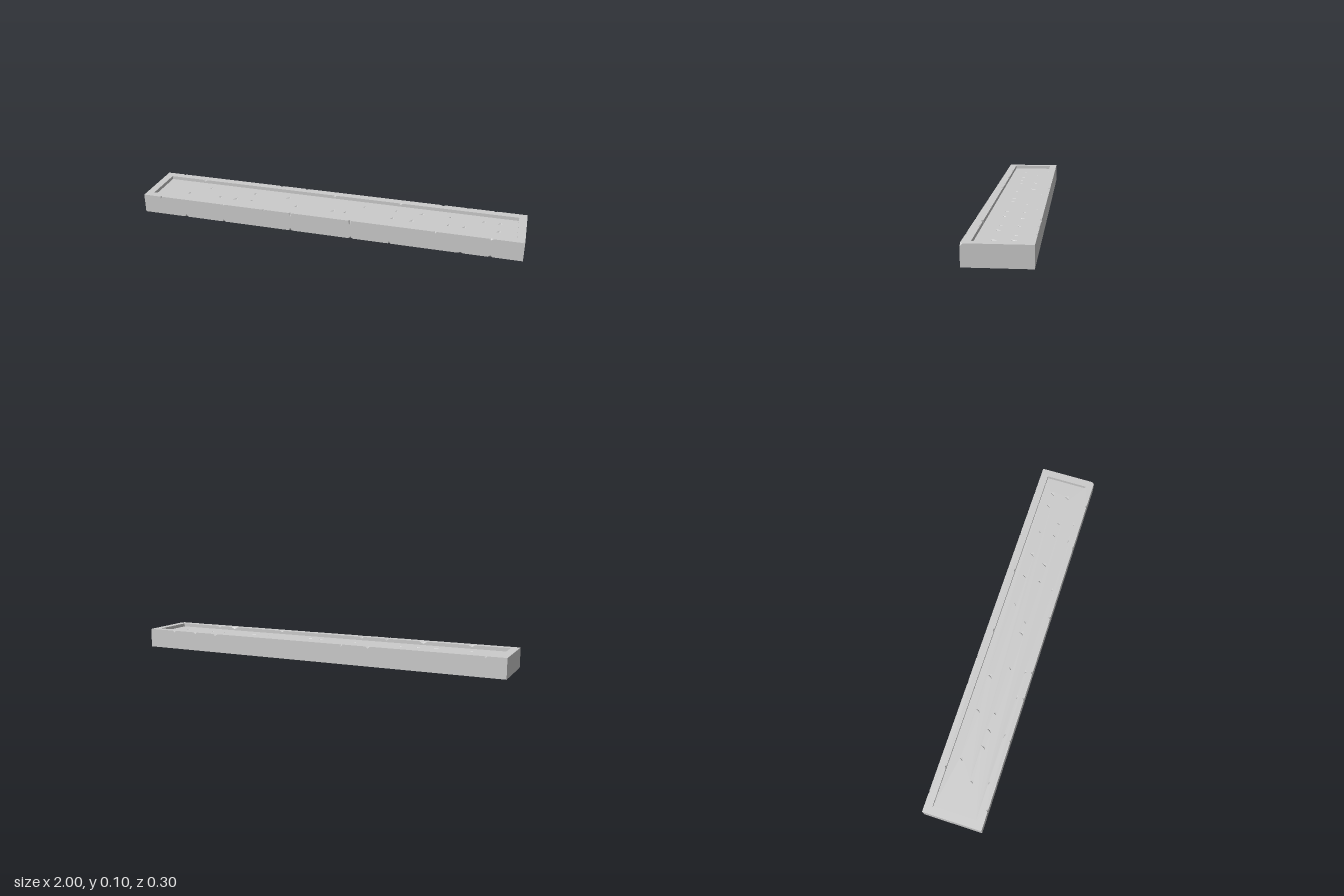
import * as THREE from 'three';
import { mergeGeometries } from 'three/addons/utils/BufferGeometryUtils.js';

const X = 1, Z = 0.15, H = 0.1;          // outer half length, half width, height
const IX = 0.96, IZ = 0.11, FLOOR = 0.082; // recess half length, half width, floor height
const C = 0.013;                          // chipped corner size

// Nicks along the edges: [x, half width, cut into horizontal face, cut into vertical face]
const frontTop = [[-0.9, 0.007, 0.008, 0.022], [-0.545, 0.007, 0.006, 0.008], [-0.32, 0.007, 0.008, 0.014],
  [-0.175, 0.009, 0.009, 0.02], [0.14, 0.008, 0.009, 0.034], [0.57, 0.009, 0.007, 0.012], [0.84, 0.011, 0.007, 0.009]];
const frontBottom = [[-0.76, 0.01, 0.008, 0.014], [-0.545, 0.008, 0.008, 0.013], [-0.175, 0.009, 0.008, 0.016],
  [0.145, 0.011, 0.008, 0.012], [0.345, 0.007, 0.008, 0.014], [0.7, 0.014, 0.007, 0.007], [0.845, 0.011, 0.008, 0.01]];
const backTop = [[-0.9, 0.008, 0.006, 0.01], [-0.32, 0.012, 0.007, 0.01], [-0.175, 0.01, 0.009, 0.012],
  [0.57, 0.013, 0.01, 0.012], [0.7, 0.01, 0.006, 0.008], [0.84, 0.01, 0.006, 0.01]];
const innerFront = [[-0.77, 0.016, 0.007, 0.01], [-0.52, 0.022, 0.009, 0.012], [-0.32, 0.013, 0.009, 0.01],
  [-0.18, 0.012, 0.009, 0.01], [0.3, 0.013, 0.007, 0.008], [0.61, 0.023, 0.009, 0.012], [0.71, 0.012, 0.008, 0.01]];
const innerBack = [[-0.76, 0.011, 0.008, 0.01], [-0.01, 0.012, 0.009, 0.012], [0.35, 0.012, 0.008, 0.01]];

// Small pits in the recess floor: x positions of each row
const pitRows = [
  [-0.055, [-0.7, -0.44, -0.25, 0.17, 0.34, 0.475, 0.62, 0.79, 0.87]],
  [0.03, [-0.79, -0.61, -0.52, -0.43, -0.18, 0.02, 0.085, 0.335, 0.435, 0.62, 0.7, 0.87]],
];

const v2 = (x, y) => new THREE.Vector2(x, y);
const v3 = (x, y, z) => new THREE.Vector3(x, y, z);

// Points along a straight edge, left to right, with V notches pushed towards dir
const edge = (nicks, y, dir, k) => nicks.flatMap((n) =>
  [v2(n[0] - n[1], y), v2(n[0], y + dir * n[k]), v2(n[0] + n[1], y)]);

const mirrorX = (pts) => pts.map((p) => v2(-p.x, p.y));
const face = (pts, holes = []) => {
  const shape = new THREE.Shape(pts);
  holes.forEach((h) => shape.holes.push(new THREE.Path(h)));
  return new THREE.ShapeGeometry(shape);
};

// Flat triangle wound so that it faces the outward direction
function triangle(a, b, c, out) {
  const n = b.clone().sub(a).cross(c.clone().sub(a));
  return new THREE.BufferGeometry().setFromPoints(n.dot(out) > 0 ? [a, b, c] : [a, c, b]);
}

// The two facets of every notch along an edge at (y, z)
const nickFacets = (nicks, y, z, sy, sz) => nicks.flatMap(([x, w, a, b]) => {
  const t = v3(x, y, z + sz * a), f = v3(x, y + sy * b, z), out = v3(0, -sy, -sz);
  return [triangle(v3(x - w, y, z), f, t, out), triangle(v3(x + w, y, z), f, t, out)];
});

function flatten(geometries) {
  return mergeGeometries(geometries.map((g) => {
    const flat = g.index ? g.toNonIndexed() : g;
    flat.deleteAttribute('uv');
    flat.computeVertexNormals();
    return flat;
  }));
}

export function createModel() {
  const group = new THREE.Group();
  const material = new THREE.MeshStandardMaterial({ color: 0xcccccc, flatShading: true });
  const add = (name, geometries) => {
    const mesh = new THREE.Mesh(flatten(geometries), material);
    mesh.name = name;
    group.add(mesh);
  };

  // Outer walls: front, back, two ends and underside
  add('outerWalls', [
    face([v2(-X, 0), ...edge(frontBottom, 0, 1, 3), v2(X, 0), v2(X, H - C), v2(X - C, H),
      ...edge(frontTop, H, -1, 3).reverse(), v2(-X, H)]).translate(0, 0, Z),
    face(mirrorX([v2(-X, 0), v2(-X, H), ...edge(backTop, H, -1, 3), v2(X, H), v2(X, 0)]))
      .rotateY(Math.PI).translate(0, 0, -Z),
    face([v2(-Z, 0), v2(Z, 0), v2(Z, H), v2(-Z + C, H), v2(-Z, H - C)])
      .rotateY(Math.PI / 2).translate(X, 0, 0),
    face([v2(-Z, 0), v2(Z, 0), v2(Z, H), v2(-Z, H)]).rotateY(-Math.PI / 2).translate(-X, 0, 0),
    face([v2(-X, -Z), v2(X, -Z), v2(X, Z), ...edge(frontBottom, Z, -1, 2).reverse(), v2(-X, Z)])
      .rotateX(Math.PI / 2),
  ]);

  // Flat rim around the recess
  add('rim', [face(
    [v2(-X, -Z), ...edge(frontTop, -Z, 1, 2), v2(X - C, -Z), v2(X, -Z + C), v2(X, Z),
      ...edge(backTop, Z, -1, 2).reverse(), v2(-X, Z)],
    [[v2(-IX, -IZ), ...edge(innerFront, -IZ, -1, 2), v2(IX, -IZ), v2(IX, IZ),
      ...edge(innerBack, IZ, 1, 2).reverse(), v2(-IX, IZ)]],
  ).rotateX(-Math.PI / 2).translate(0, H, 0)]);

  // Inner walls of the recess
  const endWall = () => face([v2(-IZ, FLOOR), v2(IZ, FLOOR), v2(IZ, H), v2(-IZ, H)]);
  add('recessWalls', [
    face([v2(-IX, FLOOR), v2(IX, FLOOR), v2(IX, H), ...edge(innerBack, H, -1, 3).reverse(), v2(-IX, H)])
      .translate(0, 0, -IZ),
    face(mirrorX([v2(-IX, FLOOR), v2(-IX, H), ...edge(innerFront, H, -1, 3), v2(IX, H), v2(IX, FLOOR)]))
      .rotateY(Math.PI).translate(0, 0, IZ),
    endWall().rotateY(Math.PI / 2).translate(-IX, 0, 0),
    endWall().rotateY(-Math.PI / 2).translate(IX, 0, 0),
  ]);

  // Recess floor with three-sided pits
  const pits = pitRows.flatMap(([z, xs]) => xs.map((x, i) => {
    const s = 0.009 + 0.002 * (i % 3);
    return [v2(x - s, -z - s), v2(x + s, -z - s * 0.6), v2(x + s * 0.3, -z + s)];
  }));
  add('recessFloor', [face([v2(-IX, -IZ), v2(IX, -IZ), v2(IX, IZ), v2(-IX, IZ)], pits)
    .rotateX(-Math.PI / 2).translate(0, FLOOR, 0)]);
  add('floorPits', pits.flatMap((p) => {
    const q = p.map((c) => v3(c.x, FLOOR, -c.y));
    const low = q[0].clone().add(q[1]).add(q[2]).divideScalar(3).setY(FLOOR - 0.007);
    return q.map((c, i) => triangle(c, q[(i + 1) % 3], low, v3(0, 1, 0)));
  }));

  // Chipped edges and the broken corner
  add('edgeChips', [
    ...nickFacets(frontTop, H, Z, -1, -1),
    ...nickFacets(frontBottom, 0, Z, 1, -1),
    ...nickFacets(backTop, H, -Z, -1, 1),
    ...nickFacets(innerFront, H, IZ, -1, 1),
    ...nickFacets(innerBack, H, -IZ, -1, -1),
    triangle(v3(X - C, H, Z), v3(X, H - C, Z), v3(X, H, Z - C), v3(1, 1, 1)),
  ]);
  return group;
}
